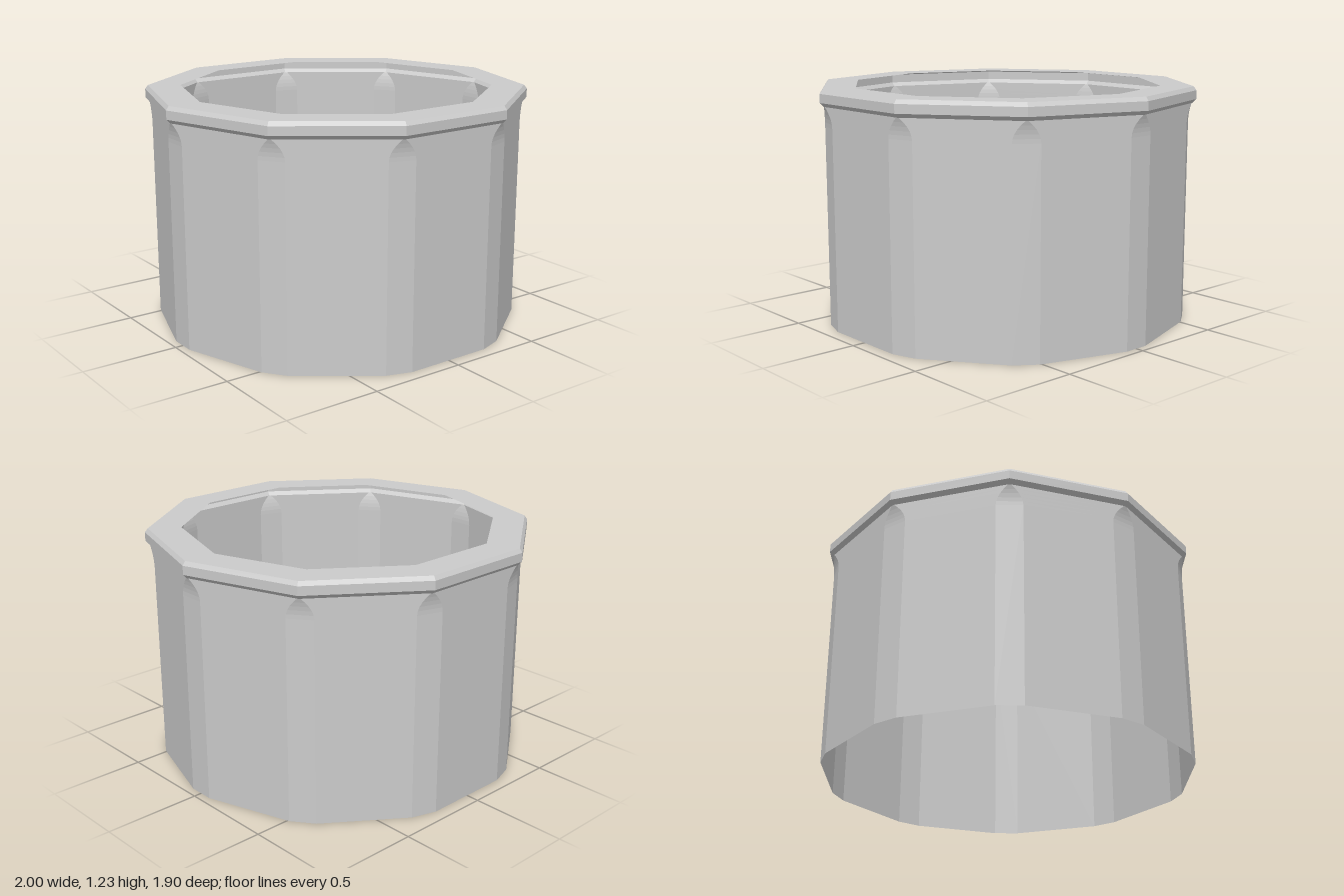
import * as THREE from 'three';

const SIDES = 10;

// Decagon ring; a cut above zero chamfers every corner by that length along its sides
function ring(y, radius, cut) {
  const corner = (i) => new THREE.Vector3(
    radius * Math.sin(Math.PI / 2 + i * 2 * Math.PI / SIDES), y,
    radius * Math.cos(Math.PI / 2 + i * 2 * Math.PI / SIDES));
  const points = [];
  for (let i = 0; i < SIDES; i++) {
    const c = corner(i);
    if (cut === 0) { points.push(c); continue; }
    for (const step of [-1, 1]) {
      const along = corner(i + step).sub(c).normalize();
      points.push(c.clone().addScaledVector(along, cut));
    }
  }
  return points;
}

// Skin through rings listed from bottom to top as [y, radius, cut]
function loft(name, rows, material) {
  const rings = rows.map((r) => ring(...r));
  const n = rings[0].length;
  const positions = rings.flatMap((r) => r.flatMap((p) => p.toArray()));
  const index = [];
  for (let j = 0; j < rings.length - 1; j++) {
    for (let i = 0; i < n; i++) {
      const a = j * n + i, b = j * n + (i + 1) % n;
      index.push(a, b, b + n, a, b + n, a + n);
    }
  }
  let geometry = new THREE.BufferGeometry();
  geometry.setAttribute('position', new THREE.Float32BufferAttribute(positions, 3));
  geometry.setIndex(index);
  geometry = geometry.toNonIndexed();
  geometry.computeVertexNormals();
  const mesh = new THREE.Mesh(geometry, material);
  mesh.name = name;
  return mesh;
}

export function createModel() {
  const group = new THREE.Group();
  group.name = 'decagonalCollar';
  const material = new THREE.MeshStandardMaterial({
    color: 0xcccccc, flatShading: true, side: THREE.DoubleSide,
  });

  // Thin open wall: chamfered corners sharpen in a curve just under the rim
  const wall = [[0, 0.98, 0.07]];
  const steps = 5;
  for (let i = 0; i <= steps; i++) {
    const t = i / steps;
    wall.push([1.04 + 0.105 * t, 0.98, 0.07 - 0.062 * t * t]);
  }
  group.add(loft('wall', wall, material));

  // Rim: sloped underside, upright band, bevel and flat top around the opening
  group.add(loft('rim', [
    [1.145, 0.98, 0],
    [1.165, 1.0, 0],
    [1.21, 1.0, 0],
    [1.23, 0.985, 0],
    [1.23, 0.815, 0],
  ], material));

  return group;
}
